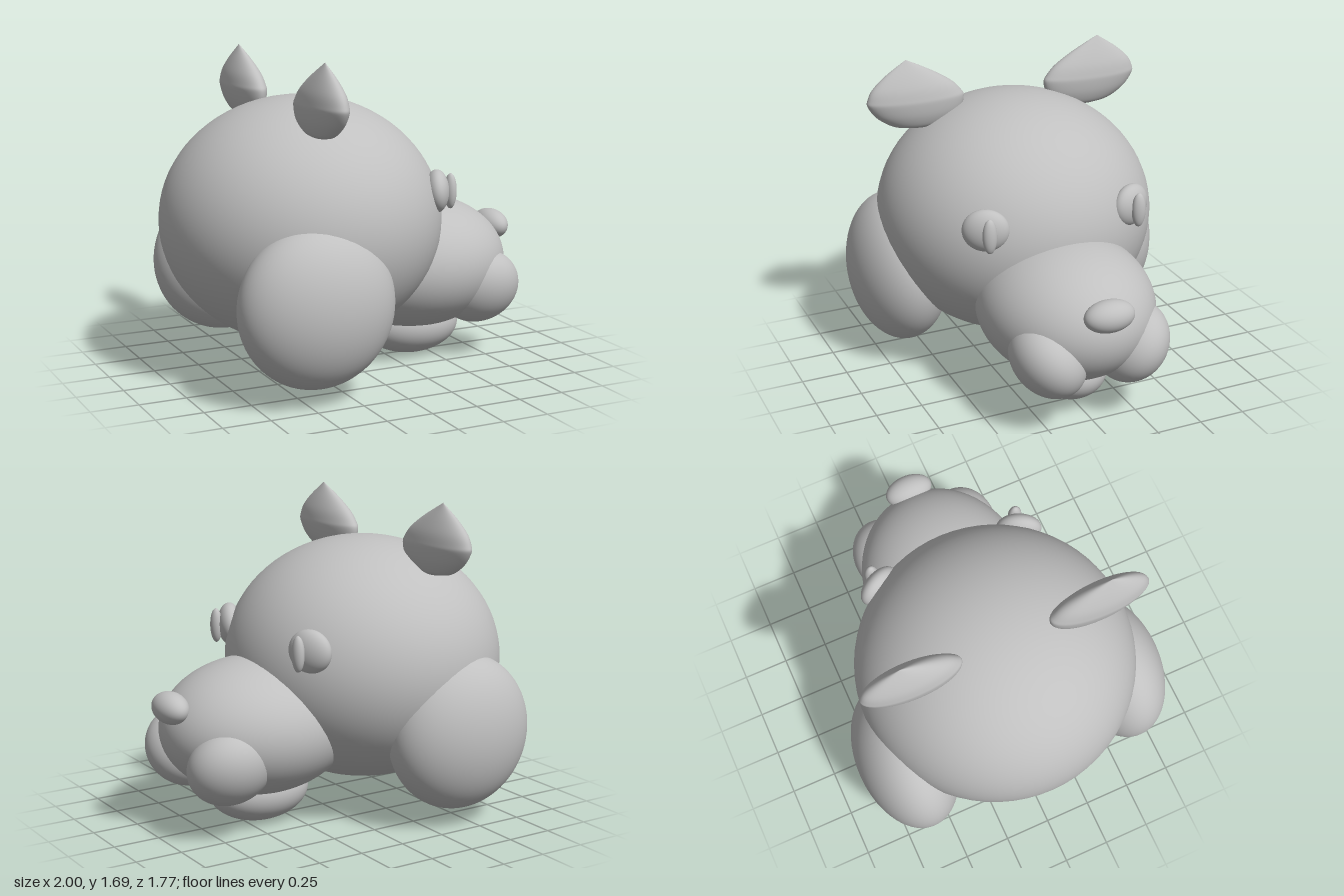
import * as THREE from 'three';

const grey = new THREE.MeshStandardMaterial({ color: 0xc0c0c0 });
grey.name = 'plain grey';

// Ellipsoid from centre, radii and rotation
function blob(name, centre, radii, rotation = [0, 0, 0]) {
  const mesh = new THREE.Mesh(new THREE.SphereGeometry(1, 64, 40), grey);
  mesh.name = name;
  mesh.position.set(...centre);
  mesh.scale.set(...radii);
  mesh.rotation.set(...rotation);
  return mesh;
}

// Flattened leaf with a round base and pointed tip, leaning outwards
function ear(side) {
  const outline = new THREE.SplineCurve([
    [0, -0.14], [0.34, -0.13], [0.62, -0.11], [0.88, -0.055], [1, 0.01],
    [0.97, 0.045], [0.82, 0.1], [0.48, 0.168], [0, 0.243],
  ].map(([r, y]) => new THREE.Vector2(r, y)));
  const points = outline.getPoints(40);
  points.forEach((p) => { p.x = Math.max(0, p.x); });
  const geometry = new THREE.LatheGeometry(points, 48);
  geometry.scale(0.087, 1, 0.268);
  const shear = new THREE.Matrix4();
  shear.elements[6] = side * 0.22;
  geometry.applyMatrix4(shear);
  const mesh = new THREE.Mesh(geometry, grey);
  mesh.name = 'ear';
  mesh.position.set(-0.368, 1.45, side * 0.503);
  return mesh;
}

export function createModel() {
  const model = new THREE.Group();
  model.name = 'animalHead';

  // Central parts, facing +x
  model.add(
    blob('head', [-0.255, 0.815, 0], [0.745, 0.655, 0.75]),
    blob('muzzle', [0.41, 0.525, 0], [0.53, 0.365, 0.46]),
    blob('lowerJaw', [0.405, 0.172, 0], [0.28, 0.17, 0.215]),
    blob('nose', [0.916, 0.68, 0], [0.084, 0.083, 0.135]),
  );

  // Paired parts on both sides of the head
  for (const side of [1, -1]) {
    model.add(
      blob('sideLobe', [-0.445, 0.5, side * 0.62], [0.412, 0.415, 0.265]),
      blob('jowl', [0.705, 0.395, side * 0.235], [0.228, 0.22, 0.18], [side * 0.6, 0, 0]),
      blob('eye', [0.338, 0.98, side * 0.41], [0.065, 0.113, 0.122], [0, -side * 0.44, 0]),
      blob('pupil', [0.415, 0.977, side * 0.42], [0.031, 0.093, 0.038]),
      ear(side),
    );
  }
  return model;
}
